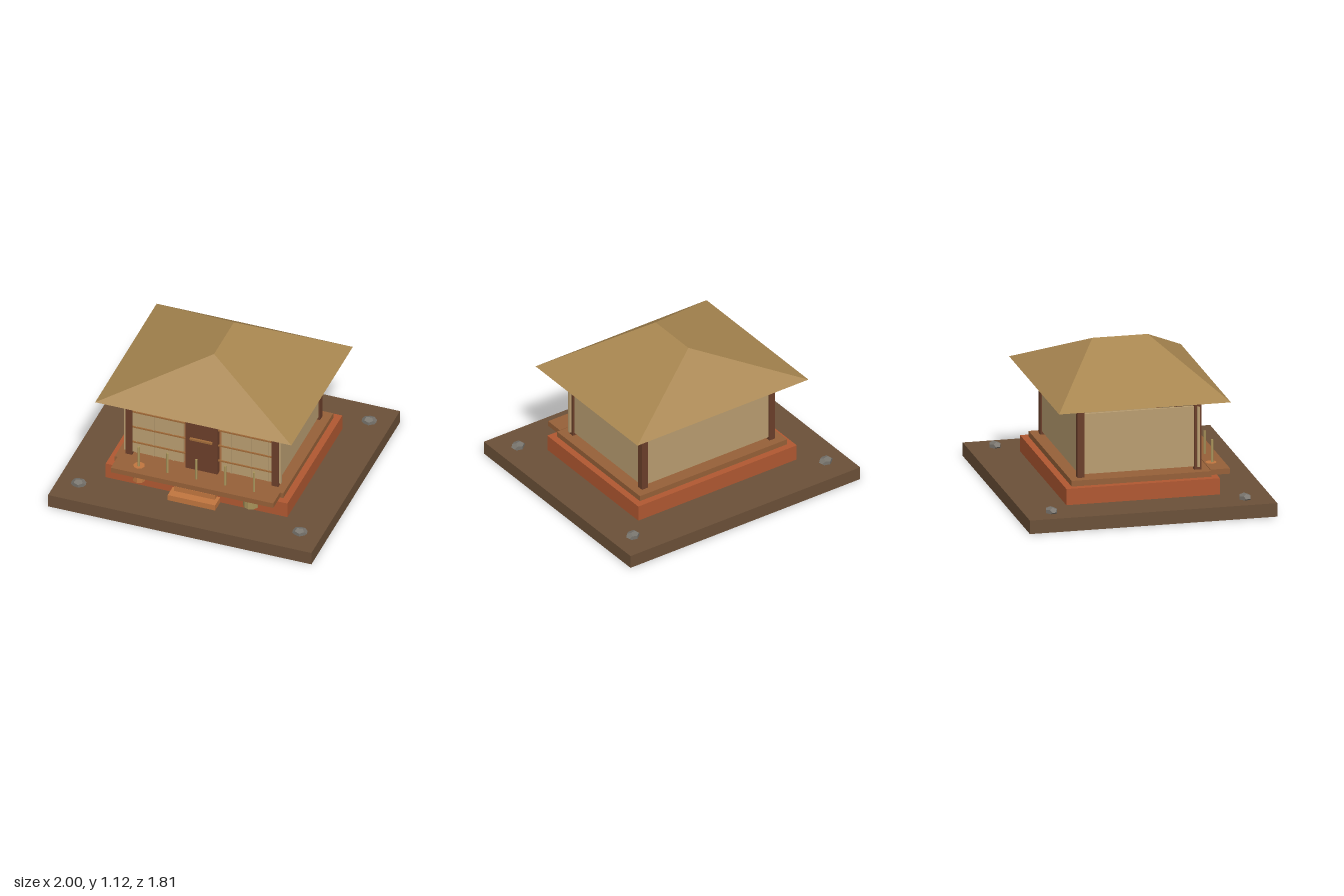
import * as THREE from 'three';

const paint = (color, extra = {}) => new THREE.MeshStandardMaterial({ color, flatShading: true, ...extra });

export function createModel() {
  const model = new THREE.Group();
  model.name = 'thatchedHouse';

  const earth = paint(0x6b5038), clay = paint(0xb05831), plank = paint(0x966038);
  const stepWood = paint(0xc0753f), darkWood = paint(0x6b3f2a), paper = paint(0xb99d70);
  const lattice = paint(0xa06a38), bamboo = paint(0xa8935a), stone = paint(0x77736c);
  const thatch = paint(0xa88650, { side: THREE.DoubleSide });

  const add = (name, geometry, material, x = 0, y = 0, z = 0) => {
    const mesh = new THREE.Mesh(geometry, material);
    mesh.name = name;
    mesh.position.set(x, y, z);
    model.add(mesh);
    return mesh;
  };
  // Box given by its extents along each axis
  const box = (name, material, [x0, x1], [y0, y1], [z0, z1]) =>
    add(name, new THREE.BoxGeometry(x1 - x0, y1 - y0, z1 - z0), material,
      (x0 + x1) / 2, (y0 + y1) / 2, (z0 + z1) / 2);

  // Ground, foundation, floor and porch
  box('ground', earth, [-1, 1], [0, 0.1], [-0.907, 0.907]);
  box('foundation', clay, [-0.69, 0.69], [0.1, 0.22], [-0.563, 0.563]);
  box('floor', plank, [-0.64, 0.64], [0.22, 0.262], [-0.512, 0.512]);
  box('porch', plank, [-0.617, 0.617], [0.226, 0.266], [0.512, 0.655]);
  box('lowerStep', stepWood, [-0.18, 0.18], [0.1, 0.145], [0.5, 0.668]);
  box('upperStep', stepWood, [-0.155, 0.155], [0.145, 0.185], [0.48, 0.605]);

  // Corner posts
  for (const sx of [-1, 1]) for (const sz of [-1, 1]) {
    add('cornerPost', new THREE.BoxGeometry(0.05, 0.51, 0.05), darkWood, sx * 0.555, 0.515, sz * 0.428);
  }

  // Back and side walls, raised slightly above the floor
  const wallY = [0.284, 0.73];
  box('backWall', paper, [-0.55, 0.55], wallY, [-0.44, -0.42]);
  for (const s of [-1, 1]) {
    add('sideWall', new THREE.BoxGeometry(0.02, 0.446, 0.84), paper, s * 0.557, 0.507, 0);
    // Sliding front panel with its lattice
    add('frontPanel', new THREE.BoxGeometry(0.45, 0.446, 0.02), paper, s * 0.37, 0.507, 0.43);
    for (const x of [0.22, 0.37, 0.5]) {
      add('latticeUpright', new THREE.BoxGeometry(0.008, 0.446, 0.008), paper, s * x, 0.507, 0.442);
    }
    for (const y of [0.375, 0.507, 0.64]) {
      add('latticeRail', new THREE.BoxGeometry(0.42, 0.01, 0.012), lattice, s * 0.325, y, 0.443);
    }
  }

  // Door and its bar
  box('door', darkWood, [-0.122, 0.122], [0.262, 0.72], [0.425, 0.463]);
  box('doorBar', lattice, [-0.085, 0.085], [0.525, 0.54], [0.463, 0.48]);

  // Railing stakes along the porch
  for (let i = -2; i <= 2; i++) {
    add('railingStake', new THREE.CylinderGeometry(0.009, 0.009, 0.17, 6), bamboo, i * 0.219, 0.35, 0.567);
  }

  // Bucket and basket beside the steps
  add('bucket', new THREE.CylinderGeometry(0.042, 0.047, 0.125, 8), stepWood, -0.437, 0.205, 0.56);
  add('basket', new THREE.CylinderGeometry(0.058, 0.058, 0.085, 10), bamboo, 0.41, 0.172, 0.552);
  add('basketRim', new THREE.CylinderGeometry(0.064, 0.064, 0.012, 10), plank, 0.41, 0.216, 0.552);

  // Hip roof, open underneath: four eave corners and a short ridge
  const eave = [[-0.745, 0.795, 0.63], [0.745, 0.795, 0.63], [0.745, 0.795, -0.63], [-0.745, 0.795, -0.63]];
  const ridge = [[0, 1.118, 0.203], [0, 1.118, -0.203]];
  const roof = new THREE.BufferGeometry();
  roof.setAttribute('position', new THREE.Float32BufferAttribute([...eave, ...ridge].flat(), 3));
  roof.setIndex([0, 1, 4, 1, 2, 5, 1, 5, 4, 2, 3, 5, 3, 0, 4, 3, 4, 5]);
  const facetedRoof = roof.toNonIndexed();
  facetedRoof.computeVertexNormals();
  add('roof', facetedRoof, thatch);

  // Corner rocks
  for (const x of [-0.84, 0.84]) for (const z of [-0.71, 0.71]) {
    const rock = add('rock', new THREE.DodecahedronGeometry(0.057), stone, x, 0.112, z);
    rock.scale.set(1, 0.55, 0.8);
    rock.rotation.y = 0.2;
  }

  return model;
}
